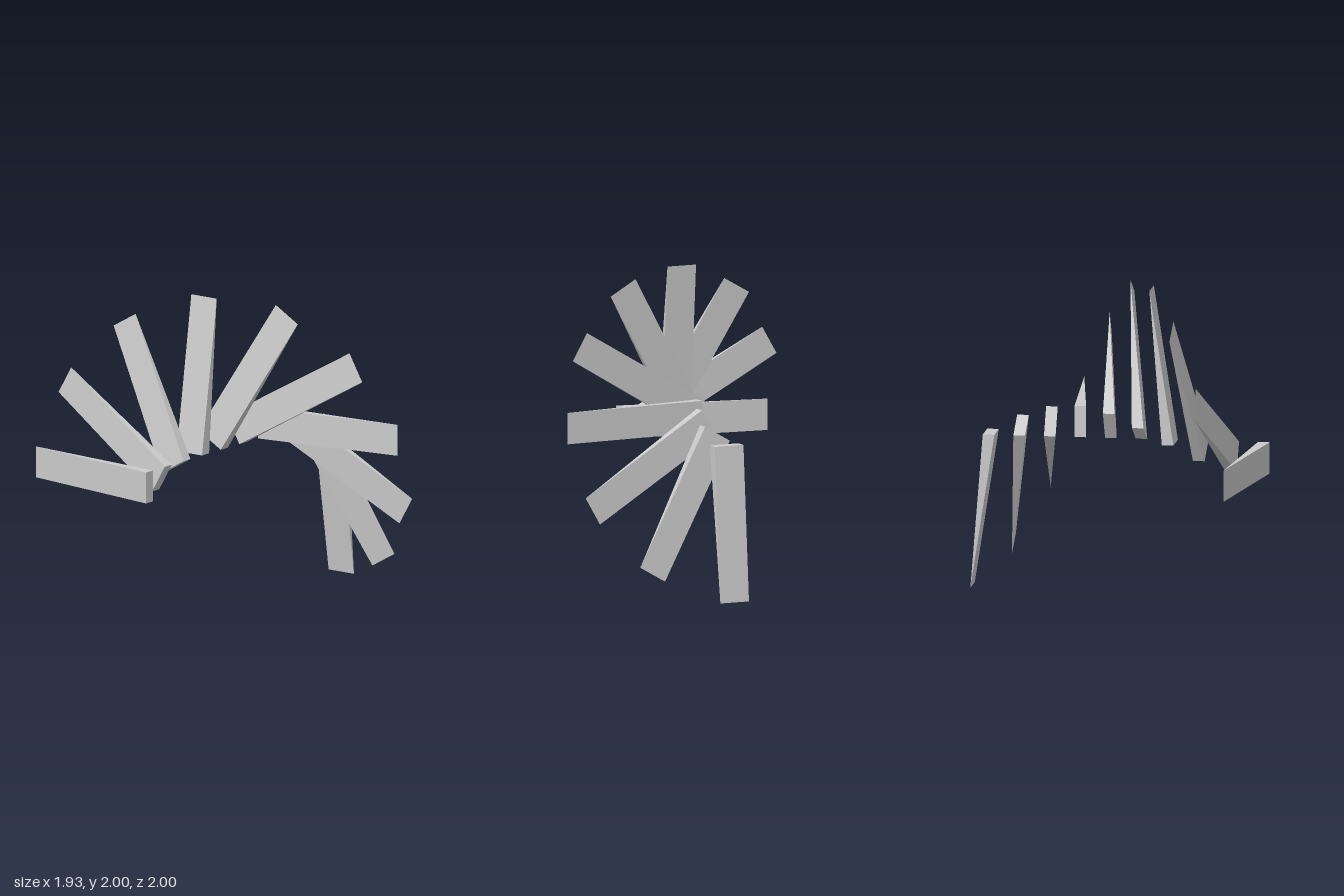
import * as THREE from 'three';

const COUNT = 10;       // wedges along the axis
const SPACING = 0.1973; // distance between neighbours
const FIRST_X = -0.966;
const WIDTH = 0.203;
const TWIST = Math.PI / 6;

// Slanted blade: thick at the root, tapering to a sharp edge at the tip
function wedgeGeometry() {
  const outline = new THREE.Shape([
    new THREE.Vector2(0, 0),
    new THREE.Vector2(0.075, 0),
    new THREE.Vector2(0.155, 1),
  ]);
  const geometry = new THREE.ExtrudeGeometry(outline, { depth: WIDTH, bevelEnabled: false });
  return geometry.translate(0, 0, -WIDTH);
}

export function createModel() {
  const model = new THREE.Group();
  model.name = 'spiralOfWedges';
  const material = new THREE.MeshStandardMaterial({ color: 0xcccccc, flatShading: true });
  const geometry = wedgeGeometry();

  // Each wedge turns a further 30 degrees about the shared axis
  for (let i = 0; i < COUNT; i++) {
    const wedge = new THREE.Mesh(geometry, material);
    wedge.name = `wedge${i + 1}`;
    wedge.position.set(FIRST_X + i * SPACING, 1, 0);
    wedge.rotation.x = (i - 3) * TWIST;
    model.add(wedge);
  }
  return model;
}
